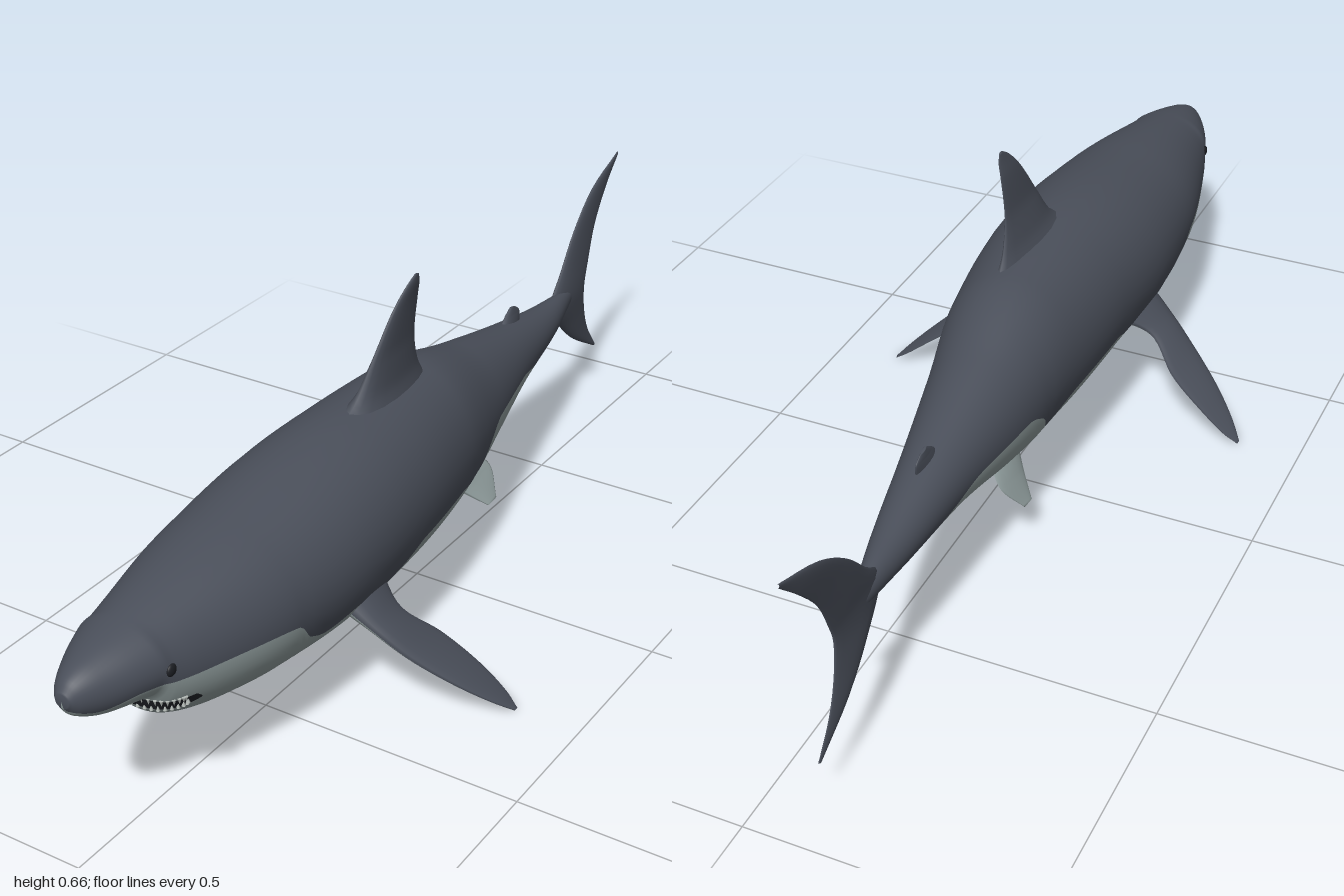
import * as THREE from 'three';

const mat = (name, color) => Object.assign(new THREE.MeshStandardMaterial({ color }), { name });

// Smooth, non-overshooting interpolation through [z, value] pairs sorted by falling z
function profile(pts) {
  const slope = i => (pts[i + 1][1] - pts[i][1]) / (pts[i + 1][0] - pts[i][0]);
  const tangent = i => {
    if (i === 0) return slope(0);
    if (i === pts.length - 1) return slope(i - 1);
    const a = slope(i - 1), b = slope(i);
    return a * b <= 0 ? 0 : 2 * a * b / (a + b);
  };
  return z => {
    if (z >= pts[0][0]) return pts[0][1];
    if (z <= pts[pts.length - 1][0]) return pts[pts.length - 1][1];
    let i = 0;
    while (z < pts[i + 1][0]) i++;
    const d = pts[i + 1][0] - pts[i][0], t = (z - pts[i][0]) / d, t2 = t * t, t3 = t2 * t;
    return (2 * t3 - 3 * t2 + 1) * pts[i][1] + (t3 - 2 * t2 + t) * d * tangent(i)
      + (3 * t2 - 2 * t3) * pts[i + 1][1] + (t3 - t2) * d * tangent(i + 1);
  };
}

// Body outlines along z: back, belly, half width, sideways bend and colour border
const back = profile([[1, .33], [.985, .347], [.95, .363], [.85, .387], [.6, .428], [.25, .462], [0, .453],
  [-.2, .402], [-.4, .355], [-.6, .316], [-.68, .306], [-.76, .29]]);
const belly = profile([[1, .305], [.985, .284], [.94, .262], [.88, .252], [.862, .248], [.845, .215], [.82, .192],
  [.75, .166], [.6, .141], [.4, .125], [.1, .126], [-.1, .142], [-.2, .164], [-.4, .214], [-.6, .24], [-.76, .262]]);
const halfWidth = profile([[1, .013], [.985, .028], [.95, .05], [.9, .073], [.8, .106], [.6, .15], [.4, .165],
  [.2, .155], [0, .133], [-.2, .1], [-.4, .065], [-.6, .036], [-.7, .018], [-.76, .006]]);
const bend = profile([[1, 0], [.3, 0], [0, -.012], [-.2, -.03], [-.4, -.045], [-.6, -.062], [-.76, -.08]]);
const border = profile([[1, .3], [.96, .287], [.9, .297], [.8, .29], [.7, .284], [.6, .272], [.56, .23], [.5, .207],
  [.42, .215], [.35, .198], [.27, .208], [.2, .234], [.03, .23], [-.08, .203], [-.13, .255], [-.19, .28],
  [-.35, .28], [-.47, .257], [-.6, .25], [-.68, .245], [-.76, .25]]);

// Half width of the skin at a given z and height
function skinX(z, y) {
  const cy = (back(z) + belly(z)) / 2, h = (back(z) - belly(z)) / 2, s = (y - cy) / h;
  return Math.abs(s) >= 1 ? 0 : halfWidth(z) * Math.sqrt(1 - s * s);
}
// z of the skin of the head at a given x and height
function skinZ(x, y) {
  let lo = .7, hi = .875;
  for (let i = 0; i < 30; i++) {
    const mid = (lo + hi) / 2;
    if (skinX(mid, y) > Math.abs(x)) lo = mid; else hi = mid;
  }
  return lo;
}

function makeGeometry(positions, index) {
  const g = new THREE.BufferGeometry();
  g.setAttribute('position', new THREE.Float32BufferAttribute(positions, 3));
  g.setIndex(index);
  g.computeVertexNormals();
  return g;
}

// Elliptic rings whose corners follow the colour border
function bodyGeometry() {
  const rings = 190, half = 24, m = half * 2, pos = [], upper = [], lower = [];
  for (let i = 0; i <= rings; i++) {
    const z = 1 - 1.76 * (i / rings) ** 1.3;
    const cy = (back(z) + belly(z)) / 2, h = (back(z) - belly(z)) / 2;
    const a0 = Math.asin(THREE.MathUtils.clamp((border(z) - cy) / h, -.98, .98));
    for (let j = 0; j < m; j++) {
      const a = j < half ? a0 + (Math.PI - 2 * a0) * j / half
        : Math.PI - a0 + (Math.PI + 2 * a0) * (j - half) / half;
      pos.push(bend(z) + halfWidth(z) * Math.cos(a), cy + h * Math.sin(a), z);
    }
  }
  const nose = pos.length / 3;
  pos.push(0, .317, 1.001);
  for (let j = 0; j < m; j++) {
    const k = (j + 1) % m, list = j < half ? upper : lower;
    list.push(nose, j, k);
    for (let i = 0; i < rings; i++) {
      const p = i * m, q = p + m;
      list.push(p + j, q + j, p + k, p + k, q + j, q + k);
    }
  }
  const g = makeGeometry(pos, [...upper, ...lower]);
  g.addGroup(0, upper.length, 0);
  g.addGroup(upper.length, lower.length, 1);
  return g;
}

// Lens-shaped fin through sections of [leading point, trailing point, half thickness]
function fin(name, sections, topMat, underMat = topMat) {
  const V = p => new THREE.Vector3(...p), steps = 28, m = 16;
  const lead = new THREE.CatmullRomCurve3(sections.map(s => V(s[0])));
  const trail = new THREE.CatmullRomCurve3(sections.map(s => V(s[1])));
  const last = sections.length - 1, mid = sections[last >> 1];
  const n = V(mid[1]).sub(V(mid[0])).cross(V(sections[last][0]).sub(V(sections[0][0]))).normalize();
  const pos = [], sides = [[], []];
  for (let i = 0; i <= steps; i++) {
    const t = i / steps, f = t * last, k = Math.min(Math.floor(f), last - 1);
    const th = THREE.MathUtils.lerp(sections[k][2], sections[k + 1][2], f - k);
    const l = lead.getPoint(t), c = trail.getPoint(t).sub(l);
    for (let j = 0; j < m; j++) {
      const a = 2 * Math.PI * j / m, u = (1 - Math.cos(a)) / 2;
      const p = l.clone().addScaledVector(c, u).addScaledVector(n, th * Math.sin(a) * (1.2 - .6 * u));
      pos.push(p.x, p.y, p.z);
      if (i === steps) continue;
      const A = i * m + j, B = i * m + (j + 1) % m;
      sides[j < m / 2 ? 0 : 1].push(A, B, A + m, B, B + m, A + m);
    }
  }
  for (let j = 1; j < m - 1; j++) sides[0].push(steps * m, steps * m + j, steps * m + j + 1);
  const g = makeGeometry(pos, [...sides[0], ...sides[1]]);
  g.addGroup(0, sides[0].length, 0);
  g.addGroup(sides[0].length, sides[1].length, 1);
  const mesh = new THREE.Mesh(g, n.y > 0 ? [topMat, underMat] : [underMat, topMat]);
  mesh.name = name;
  return mesh;
}

export function createModel() {
  const dark = mat('slate back', 0x4a4f5a), pale = mat('pale belly', 0x8f9c9c);
  const black = mat('dark eye and mouth', 0x1d1f24), ivory = mat('teeth', 0xb4bab6);
  const shark = new THREE.Group();
  shark.name = 'shark';
  const add = (name, geo, material, parent = shark) => {
    const mesh = new THREE.Mesh(geo, material);
    mesh.name = name;
    parent.add(mesh);
    return mesh;
  };
  add('body', bodyGeometry(), [dark, pale]);

  // Single fins on the centre line
  shark.add(fin('dorsalFin', [
    [[.012, .43, .3], [.012, .43, -.01], .045], [[.015, .475, .225], [.015, .475, .022], .022],
    [[.022, .54, .18], [.022, .54, .045], .009], [[.03, .615, .125], [.03, .615, .046], .006],
    [[.036, .65, .09], [.036, .645, .05], .004], [[.038, .664, .068], [.038, .662, .056], .002]], dark));
  shark.add(fin('tailFin', [
    [[-.1, .522, -.999], [-.1, .515, -1], .002], [[-.098, .475, -.88], [-.098, .46, -.945], .005],
    [[-.092, .41, -.79], [-.092, .39, -.885], .006], [[-.085, .34, -.722], [-.085, .32, -.847], .008],
    [[-.076, .278, -.66], [-.082, .27, -.828], .011], [[-.085, .205, -.73], [-.085, .21, -.838], .008],
    [[-.09, .15, -.8], [-.09, .15, -.868], .006], [[-.092, .09, -.905], [-.092, .093, -.912], .002]], dark));
  shark.add(fin('secondDorsalFin', [
    [[-.05, .335, -.39], [-.05, .335, -.475], .012], [[-.052, .362, -.42], [-.052, .358, -.478], .006],
    [[-.053, .376, -.442], [-.053, .372, -.462], .003]], dark));
  shark.add(fin('analFin', [
    [[-.052, .235, -.46], [-.052, .235, -.52], .009], [[-.052, .212, -.49], [-.052, .215, -.545], .005],
    [[-.052, .199, -.515], [-.052, .2, -.528], .002]], pale));

  // Paired fins and eyes
  for (const s of [1, -1]) {
    const side = s > 0 ? 'left' : 'right';
    const mirror = (list, cx) => list.map(([a, b, t]) =>
      [[cx + s * a[0], a[1], a[2]], [cx + s * b[0], b[1], b[2]], t]);
    shark.add(fin(side + 'PectoralFin', mirror([
      [[.11, .22, .44], [.11, .21, .3], .03], [[.17, .175, .425], [.17, .17, .33], .014],
      [[.23, .125, .403], [.23, .115, .29], .01], [[.3, .07, .362], [.3, .062, .272], .007],
      [[.35, .028, .32], [.35, .022, .27], .004], [[.377, .002, .288], [.377, .001, .278], .002]], 0), dark, pale));
    shark.add(fin(side + 'PelvicFin', mirror([
      [[.03, .165, -.09], [.03, .175, -.2], .012], [[.062, .125, -.125], [.06, .145, -.222], .006],
      [[.094, .092, -.16], [.094, .095, -.192], .002]], -.03), pale));
    const eye = add(side + 'Eye', new THREE.SphereGeometry(.011, 20, 14), black);
    eye.position.set(s * (skinX(.85, .317) - .002), .317, .85);
    eye.scale.x = .5;
  }

  // Mouth ribbon lying on the skin, narrowing to the corners
  const pos = [], index = [], cols = 40;
  for (let i = 0; i <= cols; i++) {
    const t = 2 * i / cols - 1, x = .098 * Math.sin(t * Math.PI / 2), open = .003 + .009 * Math.sqrt(1 - t * t);
    const mid = .238 + .01 * t * t;
    for (const y of [mid - open, mid + open]) pos.push(x * 1.03, y, skinZ(x, y) + .003);
    if (i < cols) index.push(2 * i, 2 * i + 2, 2 * i + 1, 2 * i + 1, 2 * i + 2, 2 * i + 3);
  }
  add('mouth', makeGeometry(pos, index), black);

  // Two rows of teeth
  const teeth = new THREE.Group();
  teeth.name = 'teeth';
  shark.add(teeth);
  const cone = new THREE.ConeGeometry(.0035, .01, 6);
  for (let i = 0; i < 22; i++) {
    const t = (i + .5) / 11 - 1, x = .09 * Math.sin(t * Math.PI / 2);
    for (const up of [1, -1]) {
      const y = .238 + .01 * t * t + up * .007 * Math.sqrt(1 - t * t);
      const tooth = add(up > 0 ? 'upperTooth' : 'lowerTooth', cone, ivory, teeth);
      tooth.position.set(x * 1.03, y, skinZ(x, y) + .003);
      if (up > 0) tooth.rotation.x = Math.PI;
    }
  }
  return shark;
}
